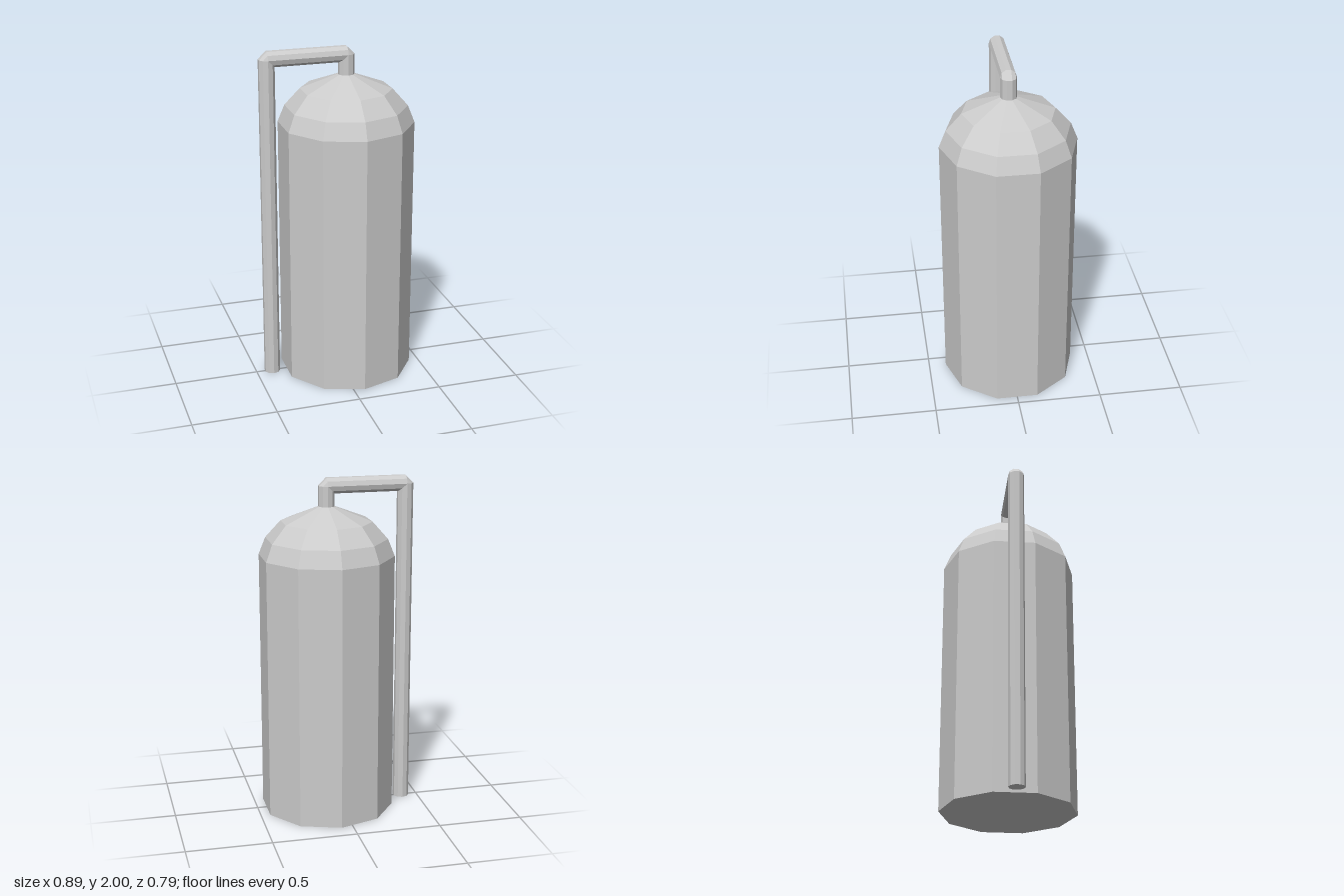
import * as THREE from 'three';

const SIDES = 10;

// Sweeps a ten-sided ring; each station is [x, y, ux, uy], where (ux, uy) is
// the ring's outward direction in the plane of the pipe.
function sweepPipe(stations, radius) {
  const positions = [];
  const index = [];
  for (const [x, y, ux, uy] of stations) {
    for (let k = 0; k < SIDES; k++) {
      const a = (k / SIDES) * Math.PI * 2;
      const s = radius * Math.sin(a);
      positions.push(x + ux * s, y + uy * s, radius * Math.cos(a));
    }
  }
  for (let i = 0; i < stations.length - 1; i++) {
    for (let k = 0; k < SIDES; k++) {
      const a = i * SIDES + k;
      const b = i * SIDES + ((k + 1) % SIDES);
      index.push(a, a + SIDES, b, b, a + SIDES, b + SIDES);
    }
  }
  // Flat end caps
  const last = (stations.length - 1) * SIDES;
  for (let k = 1; k < SIDES - 1; k++) {
    index.push(0, k, k + 1);
    index.push(last, last + k + 1, last + k);
  }
  const geometry = new THREE.BufferGeometry();
  geometry.setAttribute('position', new THREE.Float32BufferAttribute(positions, 3));
  geometry.setIndex(index);
  geometry.computeVertexNormals();
  return geometry;
}

export function createModel() {
  const model = new THREE.Group();
  model.name = 'tankWithPipe';
  const material = new THREE.MeshStandardMaterial({ color: 0xcccccc, flatShading: true });

  const tankX = 0.067;
  const pipeX = -0.402;
  const pipeY = 1.955;

  // Faceted tank with a domed top
  const profile = [
    [0, 0], [0.397, 0], [0.397, 1.55], [0.357, 1.65], [0.267, 1.75], [0, 1.855],
  ].map(([r, y]) => new THREE.Vector2(r, y));
  const tank = new THREE.Mesh(new THREE.LatheGeometry(profile, SIDES), material);
  tank.name = 'tank';
  tank.position.x = tankX;
  model.add(tank);

  // Pipe: up from the ground, across, and down into the dome, with bevelled corners
  const pipe = new THREE.Mesh(sweepPipe([
    [pipeX, 0, -1, 0],
    [pipeX, pipeY, -1, 0],
    [pipeX, pipeY, 0, 1],
    [tankX, pipeY, 0, 1],
    [tankX, pipeY, 1, 0],
    [tankX, 1.83, 1, 0],
  ], 0.0475), material);
  pipe.name = 'pipe';
  model.add(pipe);

  return model;
}
